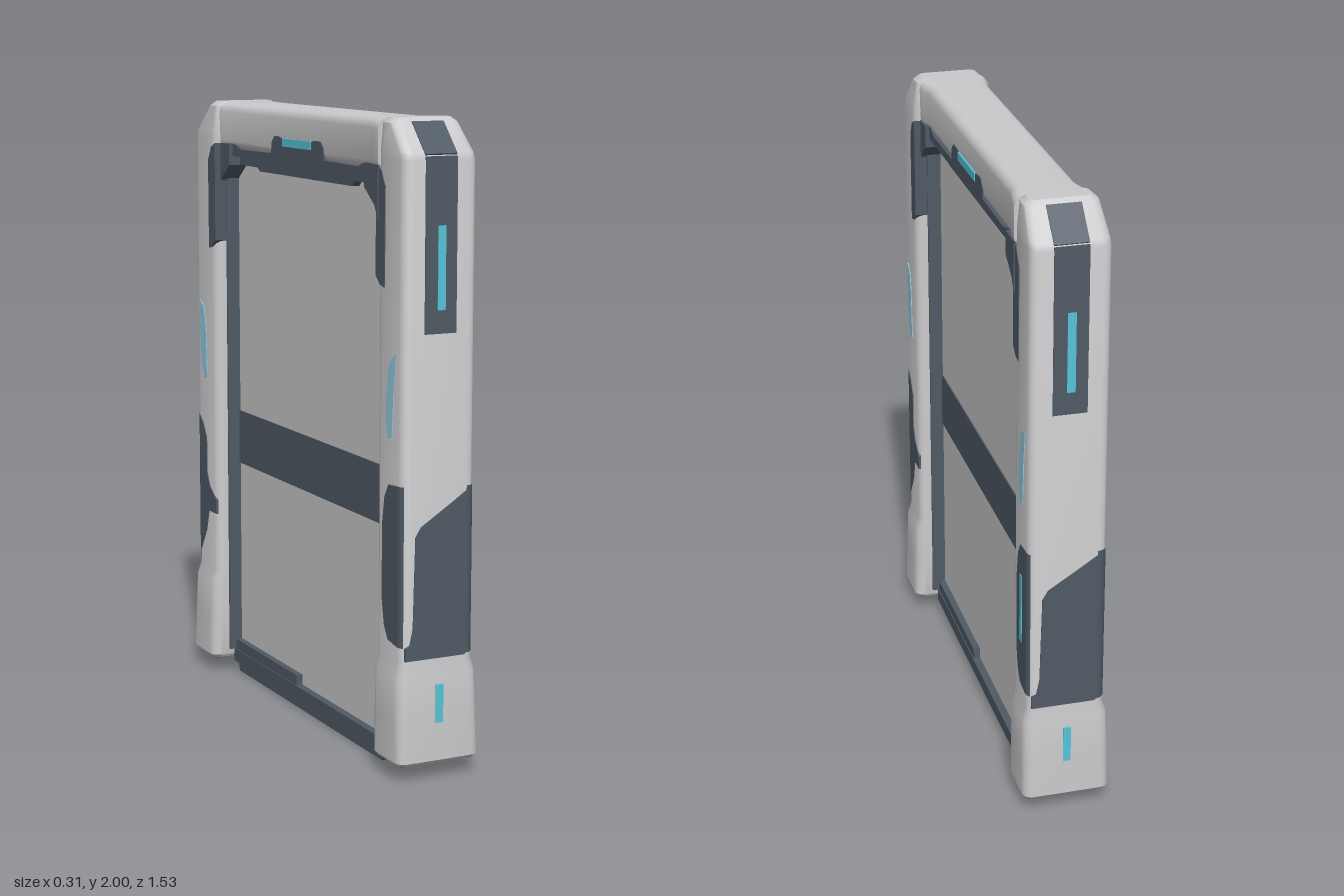
import * as THREE from 'three';
import { toCreasedNormals } from 'three/addons/utils/BufferGeometryUtils.js';

const mat = (name, color) => Object.assign(new THREE.MeshStandardMaterial({ color }), { name });

// Loft of rounded rectangles along y; each section is [y, x0, x1, z0, z1, radius]
function loft(sections, k = 4) {
  const pos = [], idx = [], n = 4 * (k + 1);
  for (const [y, x0, x1, z0, z1, r] of sections) {
    for (let c = 0; c < 4; c++) {
      const cx = c === 0 || c === 3 ? x1 - r : x0 + r;
      const cz = c < 2 ? z1 - r : z0 + r;
      for (let i = 0; i <= k; i++) {
        const a = (c + i / k) * Math.PI / 2;
        pos.push(cx + r * Math.cos(a), y, cz + r * Math.sin(a));
      }
    }
  }
  const last = (sections.length - 1) * n;
  for (let s = 0; s < last; s += n) {
    for (let j = 0; j < n; j++) {
      const a = s + j, b = s + (j + 1) % n;
      idx.push(a, a + n, b, b, a + n, b + n);
    }
  }
  for (let j = 1; j < n - 1; j++) {
    idx.push(0, j, j + 1, last, last + j + 1, last + j);
  }
  const g = new THREE.BufferGeometry();
  g.setAttribute('position', new THREE.Float32BufferAttribute(pos, 3));
  g.setIndex(idx);
  return toCreasedNormals(g, 0.6);
}

// Prism from an outline of [z, y] points, running from x0 to x1
function sidePlate(pts, x0, x1) {
  const shape = new THREE.Shape(pts.map(([z, y]) => new THREE.Vector2(-z, y)));
  return new THREE.ExtrudeGeometry(shape, { depth: x1 - x0, bevelEnabled: false })
    .rotateY(Math.PI / 2).translate(x0, 0, 0);
}

// Prism from an outline of [x, y] points, running from z0 to z1
function endPlate(pts, z0, z1) {
  const shape = new THREE.Shape(pts.map(p => new THREE.Vector2(...p)));
  return new THREE.ExtrudeGeometry(shape, { depth: z1 - z0, bevelEnabled: false }).translate(0, 0, z0);
}

const box = (x0, x1, y0, y1, z0, z1) => new THREE.BoxGeometry(x1 - x0, y1 - y0, z1 - z0)
  .translate((x0 + x1) / 2, (y0 + y1) / 2, (z0 + z1) / 2);

// Upright strip following a rounded corner
const cornerStrip = (r, x, z, y0, y1, start, sweep) =>
  new THREE.CylinderGeometry(r, r, y1 - y0, 6, 1, true, start, sweep).translate(x, (y0 + y1) / 2, z);

export function createModel() {
  const model = new THREE.Group();
  model.name = 'slidingDoor';
  const shell = mat('shellGrey', 0xcacacc), dark = mat('darkSlate', 0x505a65);
  const cyan = mat('cyanLight', 0x55c5da), pale = mat('paleBlue', 0x97cde2);
  const add = (parent, name, geometry, material) => {
    const m = new THREE.Mesh(geometry, material);
    m.name = name;
    parent.add(m);
  };

  // Two posts, the second turned half round
  const XF = 0.135, XB = -0.11, ZO = 0.75, R = 0.03, T = 0.0025;
  for (let side = 0; side < 2; side++) {
    const post = new THREE.Group();
    post.name = side ? 'rearPost' : 'frontPost';
    post.rotation.y = side * Math.PI;
    model.add(post);

    add(post, 'postBody', loft([
      [0.05, -0.115, 0.145, 0.585, 0.755, 0.03],
      [0.062, -0.125, 0.155, 0.577, 0.765, 0.03],
      [0.2, -0.125, 0.153, 0.575, 0.762, 0.035],
      [0.33, -0.122, 0.148, 0.575, 0.757, 0.035],
      [0.37, XB, XF, 0.575, ZO, R],
      [1.88, XB, XF, 0.575, ZO, R],
      [1.9, XB, XF - 0.002, 0.575, 0.743, R],
      [1.985, XB + 0.008, XF - 0.012, 0.575, 0.663, R],
      [2, XB + 0.025, XF - 0.03, 0.578, 0.645, 0.02],
    ]), shell);
    add(post, 'footSole', box(-0.105, 0.135, 0.046, 0.051, 0.595, 0.745), dark);

    // Upper end stripe running over the chamfer
    add(post, 'endStripe', box(-0.042, 0.064, 1.37, 1.892, ZO - T, ZO + T), dark);
    const slope = new THREE.BoxGeometry(0.106, 0.125, 0.006)
      .rotateX(-0.76).translate(0.011, 1.942, 0.7035);
    add(post, 'chamferStripe', slope, dark);
    add(post, 'endLight', box(0, 0.026, 1.44, 1.69, ZO, ZO + 0.0045), cyan);
    add(post, 'footLight', box(0, 0.025, 0.18, 0.3, 0.756, 0.7642), cyan);

    // Lower dark guard wrapping the corners
    add(post, 'endGuard', endPlate([[-0.1, 0.38], [0.105, 0.38], [0.105, 0.89], [0.06, 0.86],
      [-0.05, 0.79], [-0.068, 0.76], [-0.075, 0.48], [-0.085, 0.43], [-0.1, 0.42]], ZO - 0.006, ZO + T), dark);
    add(post, 'cornerGuard', cornerStrip(R + T, XF - R, ZO - R, 0.385, 0.905, 0, Math.PI / 2), dark);
    add(post, 'faceGuard', sidePlate([[0.72, 0.42], [0.72, 0.9], [0.69, 0.87], [0.665, 0.83], [0.665, 0.71],
      [0.64, 0.66], [0.585, 0.62], [0.585, 0.57], [0.65, 0.57], [0.67, 0.5]], XF - 0.006, XF + T), dark);
    add(post, 'backGuard', sidePlate([[0.635, 0.47], [0.66, 0.43], [0.721, 0.42], [0.721, 0.915], [0.66, 0.91],
      [0.635, 0.87], [0.62, 0.78], [0.62, 0.55]], XB - T, XB + 0.004), dark);
    add(post, 'backCornerGuard', cornerStrip(R + T, XB + R, ZO - R, 0.42, 0.915,
      Math.PI * 1.5, Math.PI / 4), dark);
    if (side) add(post, 'guardLight', box(XB - 0.0045, XB, 0.58, 0.81, 0.66, 0.682), cyan);

    // Pale blue inlays on both faces
    add(post, 'faceInlay', sidePlate([[0.712, 1.31], [0.68, 1.29], [0.665, 1.23], [0.655, 1.05],
      [0.68, 1.04], [0.7, 1.09], [0.712, 1.18]], XF - 0.004, XF + T), pale);
    add(post, 'backInlay', sidePlate([[0.705, 1.31], [0.66, 1.28], [0.645, 1.2], [0.64, 1.1], [0.655, 1.05],
      [0.68, 1.06], [0.69, 1.2]], XB - T, XB + 0.004), pale);

    // Dark inner corner bracket and inner edge
    add(post, 'cornerBracket', sidePlate([[0.572, 1.53], [0.6, 1.505], [0.628, 1.5], [0.63, 1.8], [0.605, 1.845],
      [0.572, 1.86]], XB - T, XF + T), dark);
    add(post, 'innerJamb', box(-0.085, 0.095, 0.08, 1.84, 0.568, 0.6), dark);
  }

  // Top beam, lofted lengthwise with a flare at each end
  const beam = [[-0.59, 0.115], [-0.55, 0.112], [-0.5, 0.1], [0.5, 0.1], [0.55, 0.112], [0.59, 0.115]]
    .map(([z, h]) => [z, -h, h, -1.996, -1.84, 0.03]);
  add(model, 'topBeam', loft(beam).rotateX(Math.PI / 2), shell);

  // Header trim with a raised centre housing and a light on each face
  add(model, 'headerTrim', sidePlate([[0.52, 1.82], [0.52, 1.862], [0.48, 1.86], [0.43, 1.845], [0.2, 1.848],
    [0.195, 1.885], [0.175, 1.905], [0.13, 1.905], [0.11, 1.9], [-0.11, 1.9], [-0.13, 1.905], [-0.165, 1.905],
    [-0.185, 1.885], [-0.19, 1.848], [-0.43, 1.845], [-0.48, 1.86], [-0.52, 1.862], [-0.52, 1.82]],
  -0.103, 0.103), dark);
  for (const s of [-1, 1]) {
    add(model, 'flareTrim', sidePlate([[s * 0.5, 1.79], [s * 0.5, 1.862], [s * 0.59, 1.86], [s * 0.59, 1.7],
      [s * 0.568, 1.74]], -0.116, 0.116), dark);
  }
  add(model, 'headerLight', box(-0.106, 0.106, 1.875, 1.901, -0.1, 0.11), cyan);

  // Recessed lining along the top of the opening
  add(model, 'headerLining', sidePlate([[0.59, 1.85], [0.59, 1.72], [0.57, 1.76], [0.545, 1.795], [0.36, 1.795],
    [0.34, 1.778], [-0.34, 1.778], [-0.36, 1.79], [-0.545, 1.79], [-0.57, 1.76], [-0.59, 1.72],
    [-0.59, 1.85]], -0.075, 0.075), dark);

  // Door panel with its band
  add(model, 'doorPanel', box(-0.05, 0.05, 0.07, 1.83, -0.58, 0.58), shell);
  add(model, 'doorBand', box(-0.054, 0.054, 0.75, 0.935, -0.575, 0.575), dark);

  // Sill with two rails underneath
  add(model, 'sill', box(-0.075, 0.075, 0.035, 0.08, -0.58, 0.58), dark);
  for (const s of [-1, 1]) {
    add(model, 'sillRail', sidePlate([[0.57, 0.045], [0.53, 0], [-0.56, 0], [-0.57, 0.045]],
      s * 0.04 - 0.022, s * 0.04 + 0.022), dark);
    add(model, 'sillLedge', box(s * 0.06 - 0.012, s * 0.06 + 0.012, 0.07, 0.115,
      s > 0 ? 0.07 : -0.57, s > 0 ? 0.57 : -0.07), dark);
  }
  return model;
}
